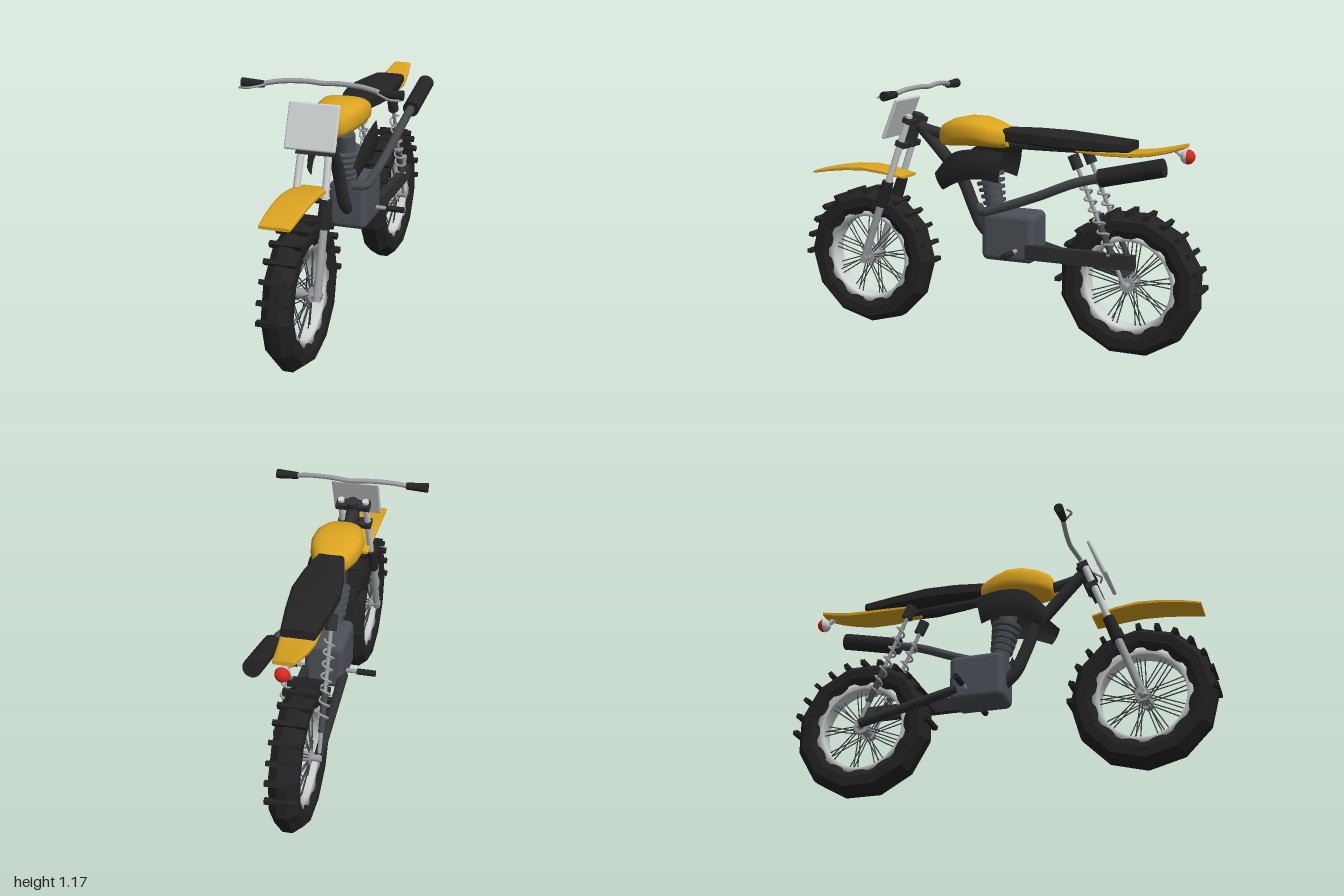
import * as THREE from 'three';
import { toCreasedNormals } from 'three/addons/utils/BufferGeometryUtils.js';
import { RoundedBoxGeometry } from 'three/addons/geometries/RoundedBoxGeometry.js';

const V = (x, y, z) => new THREE.Vector3(x, y, z);
function material(name, color, extra = {}) {
  const m = new THREE.MeshStandardMaterial({ color, ...extra });
  m.name = name;
  return m;
}

export function createModel() {
  const yellow = material('yellow paint', 0xdba41f);
  const black = material('black rubber', 0x242424, { side: THREE.DoubleSide });
  const tyreBlack = material('tyre black', 0x222222, { flatShading: true });
  const engineGrey = material('engine grey', 0x4b5057);
  const pipeGrey = material('pipe grey', 0x45484b);
  const frameBlack = material('frame black', 0x2e2f31);
  const light = material('light grey', 0xcdd1d1);
  const metal = material('metal', 0x9c9fa2);
  const red = material('lamp red', 0xd8281f);

  const model = new THREE.Group();
  model.name = 'motorbike';

  function add(name, geometry, mat, parent = model) {
    const mesh = new THREE.Mesh(geometry, mat);
    mesh.name = name;
    parent.add(mesh);
    return mesh;
  }
  // straight round bar between two points
  function rod(name, a, b, r, mat, parent = model, r2 = r, sides = 12) {
    const mesh = add(name, new THREE.CylinderGeometry(r2, r, a.distanceTo(b), sides), mat, parent);
    mesh.position.copy(a).add(b).multiplyScalar(0.5);
    mesh.quaternion.setFromUnitVectors(V(0, 1, 0), b.clone().sub(a).normalize());
    return mesh;
  }
  const tube = (name, pts, r, mat, parent = model, seg = 24) =>
    add(name, new THREE.TubeGeometry(new THREE.CatmullRomCurve3(pts), seg, r, 10), mat, parent);

  // skin over superellipse sections [z, y, halfWidth, halfHeight], from front to back
  function loft(name, sections, power, n, mat, crease) {
    const pos = [], idx = [];
    const sp = (v) => Math.sign(v) * Math.abs(v) ** power;
    for (const [z, y, w, h] of sections)
      for (let j = 0; j < n; j++) {
        const a = ((j + 0.5) / n) * Math.PI * 2;
        pos.push(w * sp(Math.cos(a)), y + h * sp(Math.sin(a)), z);
      }
    const last = sections.length - 1;
    for (let i = 0; i < last; i++)
      for (let j = 0; j < n; j++) {
        const a = i * n + j, b = i * n + (j + 1) % n;
        idx.push(a, a + n, b, b, a + n, b + n);
      }
    for (const i of [0, last]) {
      const c = pos.length / 3;
      pos.push(0, sections[i][1], sections[i][0]);
      for (let j = 0; j < n; j++) {
        const a = i * n + j, b = i * n + (j + 1) % n;
        idx.push(c, i ? b : a, i ? a : b);
      }
    }
    const g = new THREE.BufferGeometry();
    g.setAttribute('position', new THREE.Float32BufferAttribute(pos, 3));
    g.setIndex(idx);
    return add(name, toCreasedNormals(g, crease), mat);
  }

  // wheels
  function wheel(name, z, turn) {
    const w = new THREE.Group();
    w.name = name;
    w.position.set(0, 0.332, z);
    model.add(w);
    const lathe = (part, pts, seg, mat) => {
      const g = new THREE.LatheGeometry(pts.map((p) => new THREE.Vector2(...p)), seg);
      g.rotateZ(-Math.PI / 2);
      const m = add(part, g, mat, w);
      m.rotation.x = turn;
    };
    lathe('tyre', [[0.215, -0.045], [0.25, -0.062], [0.295, -0.062], [0.328, -0.022], [0.328, 0.022],
      [0.295, 0.062], [0.25, 0.062], [0.215, 0.045], [0.215, -0.045]], 12, tyreBlack);
    lathe('rim', [[0.195, -0.04], [0.222, -0.05], [0.222, 0.05], [0.195, 0.04], [0.195, -0.04]], 40, light);
    rod('hub', V(-0.05, 0, 0), V(0.05, 0, 0), 0.022, metal, w);
    for (const s of [-1, 1]) {
      rod('hubFlange', V(s * 0.038, 0, 0), V(s * 0.05, 0, 0), 0.034, metal, w);
      rod('axleEnd', V(s * 0.05, 0, 0), V(s * 0.095, 0, 0), 0.016, metal, w);
      for (let i = 0; i < 18; i++) {
        const a = ((i + (s > 0 ? 0.5 : 0)) / 18) * Math.PI * 2, b = a + (i % 2 ? 0.12 : -0.12);
        rod('spoke', V(s * 0.044, 0.03 * Math.cos(a), 0.03 * Math.sin(a)),
          V(s * 0.01, 0.2 * Math.cos(b), 0.2 * Math.sin(b)), 0.0028, pipeGrey, w, 0.0028, 5);
      }
    }
    // tread bars over the upper half
    for (let i = 0; i < 13; i++) {
      const a = (i / 12) * Math.PI, bar = add('treadBar', new THREE.BoxGeometry(0.14, 0.024, 0.02), tyreBlack, w);
      bar.position.set(0, 0.32 * Math.sin(a), 0.32 * Math.cos(a));
      bar.rotation.x = Math.PI / 2 - a;
    }
  }
  wheel('frontWheel', 0.655, 0);
  wheel('rearWheel', -0.655, Math.PI / 12);

  // front fork, rear shocks and foot pegs on both sides
  for (const s of [-1, 1]) {
    const on = (t, x) => V(s * x, 0.33 + 0.69 * t, 0.66 - 0.245 * t);
    rod('forkLower', on(-0.03, 0.075), on(0.42, 0.072), 0.018, metal);
    rod('forkBoot', on(0.38, 0.07), on(0.55, 0.07), 0.03, black, model, 0.026);
    rod('forkUpper', on(0.5, 0.066), on(1.01, 0.058), 0.016, light);

    const shock = rod('shockRod', V(s * 0.085, 0.86, -0.425), V(s * 0.082, 0.34, -0.65), 0.009, metal);
    const coil = [];
    for (let i = 0; i <= 84; i++) {
      const a = (i / 12) * Math.PI * 2;
      coil.push(V(0.022 * Math.cos(a), -0.22 + (i / 84) * 0.36, 0.022 * Math.sin(a)));
    }
    tube('shockSpring', coil, 0.005, metal, shock, 168);
    rod('shockBody', V(0, 0, 0), V(0, 0.18, 0), 0.014, pipeGrey, shock);
    rod('shockCap', V(s * 0.085, 0.9, -0.408), V(s * 0.085, 0.84, -0.435), 0.025, frameBlack);

    rod('pegShaft', V(s * 0.08, 0.445, -0.14), V(s * 0.15, 0.445, -0.14), 0.01, metal);
    rod('pegGrip', V(s * 0.14, 0.445, -0.14), V(s * 0.225, 0.445, -0.14), 0.014, black);

    // grips and levers
    rod('grip', V(s * 0.255, 1.143, 0.375), V(s * 0.355, 1.143, 0.376), 0.016, black, model, 0.022);
    tube('lever', [V(s * 0.25, 1.143, 0.385), V(s * 0.28, 1.138, 0.405), V(s * 0.31, 1.135, 0.425),
      V(s * 0.355, 1.13, 0.41)], 0.005, metal);
  }
  tube('handlebar', [V(-0.27, 1.143, 0.375), V(-0.19, 1.158, 0.36), V(-0.07, 1.163, 0.345), V(0, 1.158, 0.342),
    V(0.07, 1.163, 0.345), V(0.19, 1.158, 0.36), V(0.27, 1.143, 0.375)], 0.011, metal);

  // steering head and clamps
  rod('steeringHead', V(0, 0.88, 0.45), V(0, 1.03, 0.395), 0.028, frameBlack);
  for (const [y, z] of [[0.89, 0.455], [1.0, 0.415]]) {
    const clamp = add('forkClamp', new THREE.BoxGeometry(0.16, 0.026, 0.05), frameBlack);
    clamp.position.set(0, y, z);
    clamp.rotation.x = -0.34;
  }
  const plate = add('frontPlate', new RoundedBoxGeometry(0.225, 0.2, 0.018, 3, 0.008), light);
  plate.position.set(0, 1.01, 0.49);
  plate.rotation.x = -0.39;

  // frame
  tube('downTube', [V(0, 0.98, 0.39), V(0, 0.86, 0.275), V(0, 0.74, 0.17), V(0, 0.62, 0.115),
    V(0, 0.53, 0.07), V(0, 0.47, 0.0)], 0.029, frameBlack);
  tube('topTube', [V(0, 0.97, 0.4), V(0, 0.93, 0.2), V(0, 0.92, -0.1), V(0, 0.92, -0.45)], 0.025, frameBlack);
  const arm = add('swingArm', new THREE.BoxGeometry(0.035, 0.066, 0.51), frameBlack);
  arm.position.set(0.085, 0.445, -0.445);
  rod('swingArmFar', V(-0.085, 0.445, -0.18), V(-0.08, 0.335, -0.65), 0.022, frameBlack);

  // engine with finned cylinder
  add('engineCase', new RoundedBoxGeometry(0.18, 0.225, 0.255, 4, 0.03), engineGrey).position.set(0, 0.5, -0.092);
  rod('cylinder', V(0, 0.59, -0.005), V(0, 0.85, 0.045), 0.042, engineGrey, model, 0.042, 20);
  for (let i = 0; i < 5; i++) {
    const y = 0.64 + i * 0.03, z = 0.005 + i * 0.006;
    rod('coolingFin', V(0, y, z), V(0, y + 0.014, z + 0.003), 0.052 + i * 0.004, engineGrey, model, 0.054 + i * 0.004, 24);
  }

  // exhaust on the left side
  tube('exhaustPipe', [V(0.03, 0.62, 0.07), V(0.085, 0.61, 0.03), V(0.105, 0.64, -0.07), V(0.122, 0.71, -0.26),
    V(0.135, 0.785, -0.44), V(0.138, 0.82, -0.57)], 0.021, pipeGrey, model, 40);
  rod('muffler', V(0.138, 0.815, -0.555), V(0.14, 0.88, -0.838), 0.04, black, model, 0.04, 20);

  // bodywork
  loft('tank', [[0.262, 0.94, 0.05, 0.035], [0.25, 0.944, 0.064, 0.05], [0.2, 0.957, 0.09, 0.063],
    [0.13, 0.967, 0.112, 0.068], [0.06, 0.968, 0.117, 0.065], [0.0, 0.958, 0.106, 0.058],
    [-0.05, 0.948, 0.082, 0.05], [-0.075, 0.945, 0.065, 0.04]], 0.7, 28, yellow, 0.9);
  loft('seat', [[-0.04, 0.96, 0.058, 0.03], [-0.2, 0.957, 0.09, 0.034], [-0.34, 0.951, 0.106, 0.035],
    [-0.5, 0.944, 0.094, 0.03], [-0.655, 0.94, 0.074, 0.023]], 0.4, 12, black, 0.5);
  loft('rearFender', [[-0.41, 0.913, 0.06, 0.008], [-0.55, 0.908, 0.075, 0.011], [-0.66, 0.91, 0.075, 0.012],
    [-0.74, 0.918, 0.065, 0.012], [-0.82, 0.935, 0.054, 0.012], [-0.89, 0.955, 0.043, 0.009]], 0.4, 16, yellow, 0.7);
  loft('frontFender', [[0.94, 0.727, 0.068, 0.007], [0.86, 0.743, 0.073, 0.009], [0.76, 0.757, 0.076, 0.011],
    [0.66, 0.762, 0.077, 0.011], [0.56, 0.752, 0.075, 0.01], [0.45, 0.733, 0.066, 0.007]], 0.4, 16, yellow, 0.7);

  // curved side shrouds
  const curve = (pts) => new THREE.CatmullRomCurve3(pts.map(([z, y]) => V(0, y, z)));
  const top = curve([[-0.085, 0.89], [0.04, 0.9], [0.16, 0.875], [0.26, 0.775]]);
  const bottom = curve([[-0.06, 0.75], [0.03, 0.765], [0.13, 0.745], [0.22, 0.7]]);
  for (const s of [-1, 1]) {
    const g = new THREE.PlaneGeometry(1, 1, 16, 6), p = g.attributes.position;
    for (let i = 0; i < p.count; i++) {
      const u = p.getX(i) + 0.5, v = p.getY(i) + 0.5;
      const q = bottom.getPoint(u).lerp(top.getPoint(u), v);
      p.setXYZ(i, s * (0.103 + 0.022 * Math.sin(Math.PI * u) + 0.012 * Math.sin(Math.PI * v)), q.y, q.z);
    }
    g.computeVertexNormals();
    add('sideShroud', g, black);
  }

  // tail lamp: pale front half, red rear half
  for (const [name, mat, turn] of [['lampHousing', light, Math.PI / 2], ['lampLens', red, -Math.PI / 2]]) {
    const half = add(name, new THREE.SphereGeometry(0.032, 20, 10, 0, Math.PI * 2, 0, Math.PI / 2), mat);
    half.position.set(0, 0.91, -0.897);
    half.rotation.x = turn;
  }
  rod('lampBracket', V(0, 0.91, -0.88), V(0, 0.94, -0.84), 0.012, light);

  return model;
}
